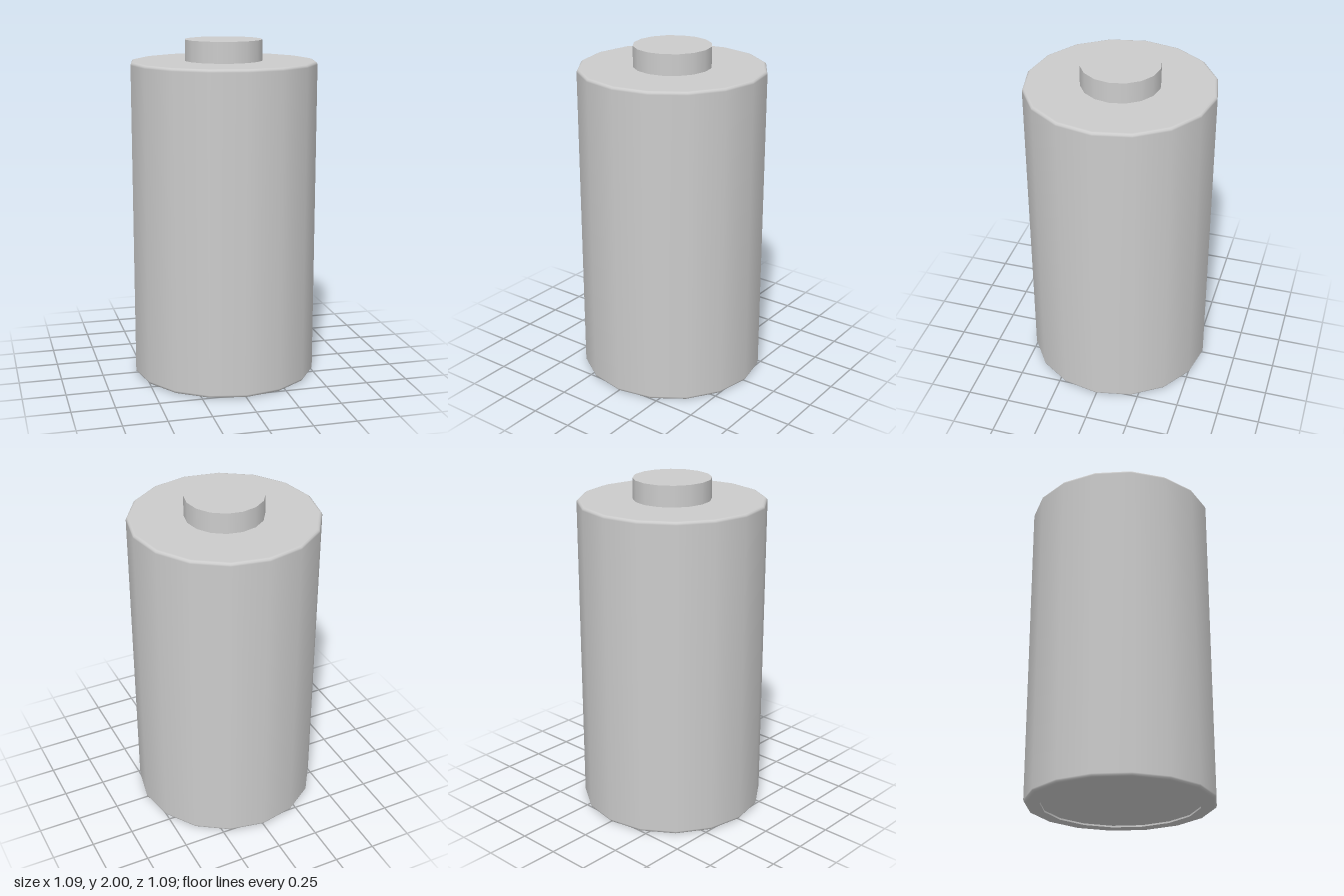
import * as THREE from 'three';

const SIDES = 16;
const RADIUS = 0.547, TOP = 1.878, BEVEL = 0.018;
const BASE_RADIUS = 0.455, BASE_DEPTH = 0.01;
const NUB_RADIUS = 0.227;

export function createModel() {
  const group = new THREE.Group();
  const material = new THREE.MeshStandardMaterial({ color: 0xcccccc });

  function add(name, geometry, y = 0) {
    const mesh = new THREE.Mesh(geometry, material);
    mesh.name = name;
    mesh.position.y = y;
    group.add(mesh);
  }
  // turned part from a list of [radius, height] points, running outward then up
  const turned = (points) =>
    new THREE.LatheGeometry(points.map(([r, y]) => new THREE.Vector2(r, y)), SIDES);

  // quarter-round edge starting at the given angle
  const edge = (y, start) => [0, 1, 2, 3].map((i) => {
    const a = start + (i / 3) * Math.PI / 2;
    return [RADIUS - BEVEL + BEVEL * Math.cos(a), y + BEVEL * Math.sin(a)];
  });

  // main casing with softly rounded rims
  add('casing', turned([
    [BASE_RADIUS, 0],
    ...edge(BEVEL, -Math.PI / 2),
    ...edge(TOP - BEVEL, 0),
    [0, TOP],
  ]));

  // shallow recessed contact underneath
  add('baseContact', turned([[0, BASE_DEPTH], [BASE_RADIUS, BASE_DEPTH]]));
  add('baseRecessWall', turned([[BASE_RADIUS, BASE_DEPTH], [BASE_RADIUS, 0]]));

  // raised terminal on top
  const height = 2 - TOP;
  add('terminal', new THREE.CylinderGeometry(NUB_RADIUS, NUB_RADIUS, height, SIDES), TOP + height / 2);

  return group;
}
